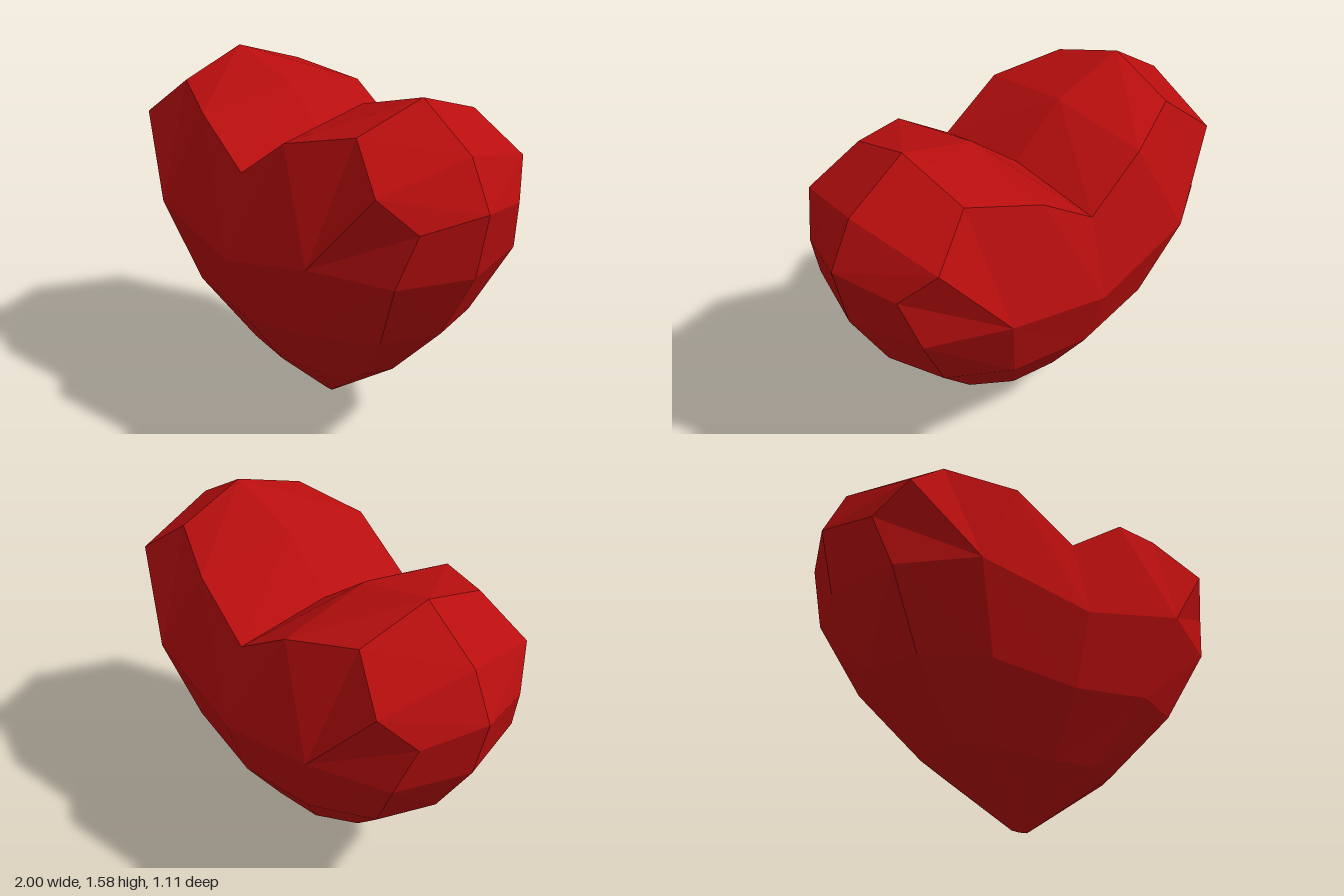
import * as THREE from 'three';

// One quarter of the heart (left lobe, front half); the rest is mirrored
const POINTS = [
  // rim, from the cleft round to the tip (0-9)
  [0, 1.26, 0], [0.255, 1.47, 0], [0.62, 1.573, 0], [0.895, 1.395, 0], [1, 1.185, 0],
  [0.938, 0.895, 0], [0.755, 0.582, 0], [0.465, 0.295, 0], [0.04, 0.003, 0], [0, 0, 0],
  // bevel ring (10-17)
  [0, 1.2, 0.455], [0.285, 1.395, 0.445], [0.59, 1.465, 0.325], [0.797, 1.29, 0.41],
  [0.903, 1.142, 0.28], [0.833, 0.908, 0.34], [0.665, 0.583, 0.26], [0.415, 0.292, 0.14],
  // belly (18-20) and centre line (21-23)
  [0.52, 0.947, 0.53], [0.4, 0.567, 0.42], [0.235, 0.268, 0.24],
  [0, 0.825, 0.555], [0, 0.512, 0.45], [0, 0.25, 0.263],
];

const FACES = [
  // bevel between ring and rim
  [10, 11, 1, 0], [11, 12, 2, 1], [12, 13, 3, 2], [13, 14, 4, 3],
  [14, 15, 5, 4], [15, 16, 6, 5], [16, 17, 7, 6], [17, 8, 7],
  // upper lobe
  [21, 18, 11, 10], [18, 13, 12, 11], [18, 15, 14, 13],
  // lower belly
  [22, 19, 18, 21], [19, 16, 15, 18], [23, 20, 19, 22], [20, 17, 16, 19],
  // tip
  [9, 8, 20, 23], [8, 17, 20],
];

// Quarter shell mirrored by the signs sx and sz, keeping faces outward
function addQuarter(out, sx, sz) {
  for (const face of FACES) {
    const f = sx * sz > 0 ? face : [face[0], ...face.slice(1).reverse()];
    for (let i = 1; i < f.length - 1; i++) {
      for (const k of [f[0], f[i], f[i + 1]]) {
        const [x, y, z] = POINTS[k];
        out.push(x * sx, y, z * sz);
      }
    }
  }
}

export function createModel() {
  const red = new THREE.MeshStandardMaterial({ color: 0xb80e0e });
  red.name = 'heart red';
  red.flatShading = true;

  const positions = [];
  for (const sx of [1, -1]) for (const sz of [1, -1]) addQuarter(positions, sx, sz);

  const geometry = new THREE.BufferGeometry();
  geometry.setAttribute('position', new THREE.Float32BufferAttribute(positions, 3));
  // slight lean to one side
  geometry.translate(0, -1.18, 0).rotateZ(0.015).translate(0, 1.18, 0);
  geometry.computeVertexNormals();

  const heart = new THREE.Mesh(geometry, red);
  heart.name = 'heart';

  const group = new THREE.Group();
  group.name = 'facetedHeart';
  group.add(heart);
  return group;
}
